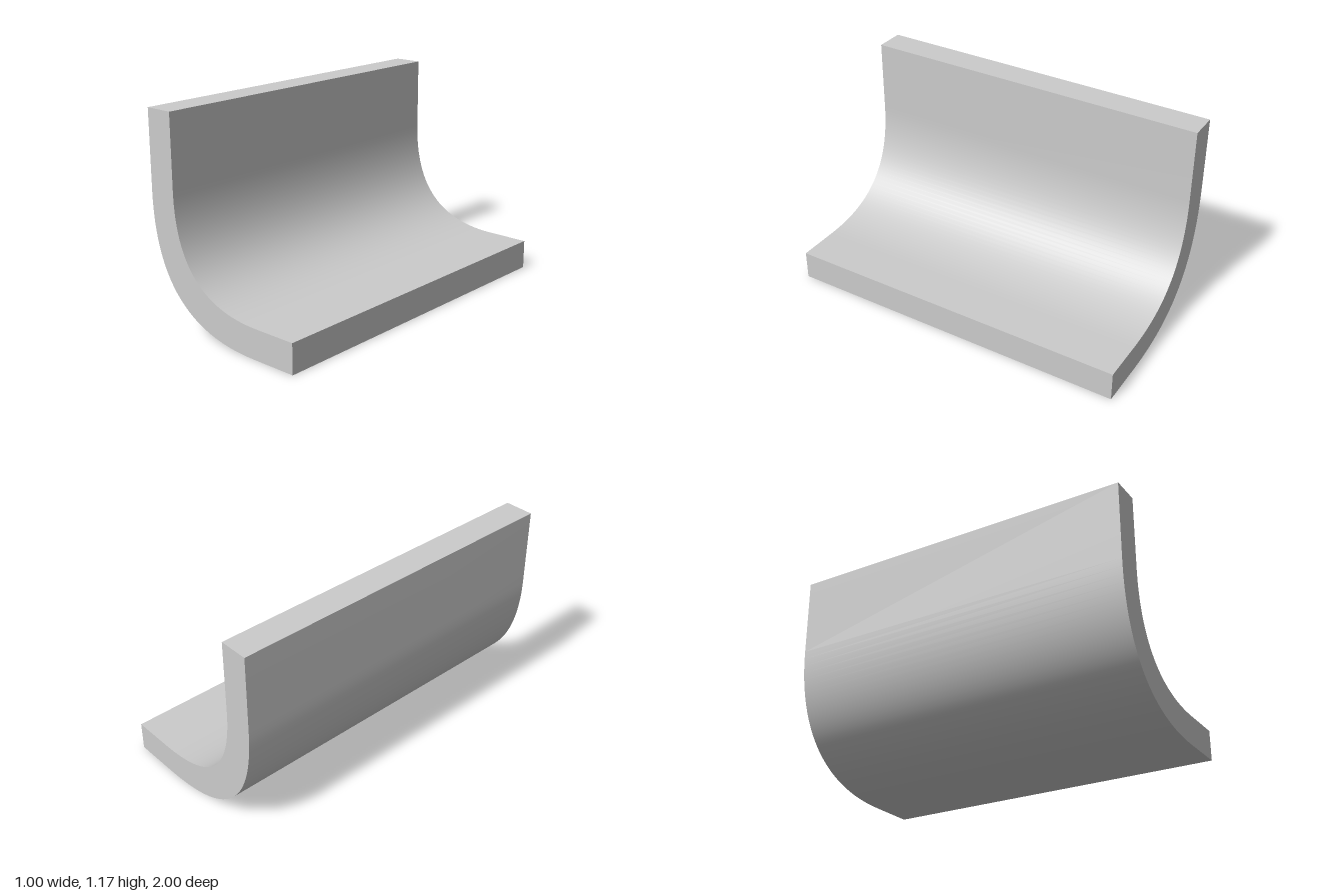
import * as THREE from 'three';
import { toCreasedNormals } from 'three/addons/utils/BufferGeometryUtils.js';

const LENGTH = 2;      // along z
const THICK = 0.167;   // wall thickness
const TOP = 1.167;     // height of the upright wall
const HALF = 0.5;      // half width
const INNER_BEND = 0.59;
const OUTER_BEND = 0.73;

export function createModel() {
  const group = new THREE.Group();
  group.name = 'curvedChannel';

  // L-shaped section with a rounded bend, drawn counter-clockwise
  const inX = -HALF + THICK;
  const section = new THREE.Shape();
  section.moveTo(-HALF, TOP);
  section.lineTo(-HALF, OUTER_BEND);
  section.quadraticCurveTo(-HALF, 0, -HALF + OUTER_BEND, 0);
  section.lineTo(HALF, 0);
  section.lineTo(HALF, THICK);
  section.lineTo(inX + INNER_BEND, THICK);
  section.quadraticCurveTo(inX, THICK, inX, THICK + INNER_BEND);
  section.lineTo(inX, TOP);
  section.closePath();

  // Sweep the section along z, keeping the bend smooth and the edges sharp
  const geometry = new THREE.ExtrudeGeometry(section, {
    depth: LENGTH, bevelEnabled: false, curveSegments: 32,
  });
  geometry.translate(0, 0, -LENGTH / 2);

  const panel = new THREE.Mesh(
    toCreasedNormals(geometry, 0.5),
    new THREE.MeshStandardMaterial({ color: 0xcccccc }),
  );
  panel.name = 'curvedPanel';
  group.add(panel);
  return group;
}
